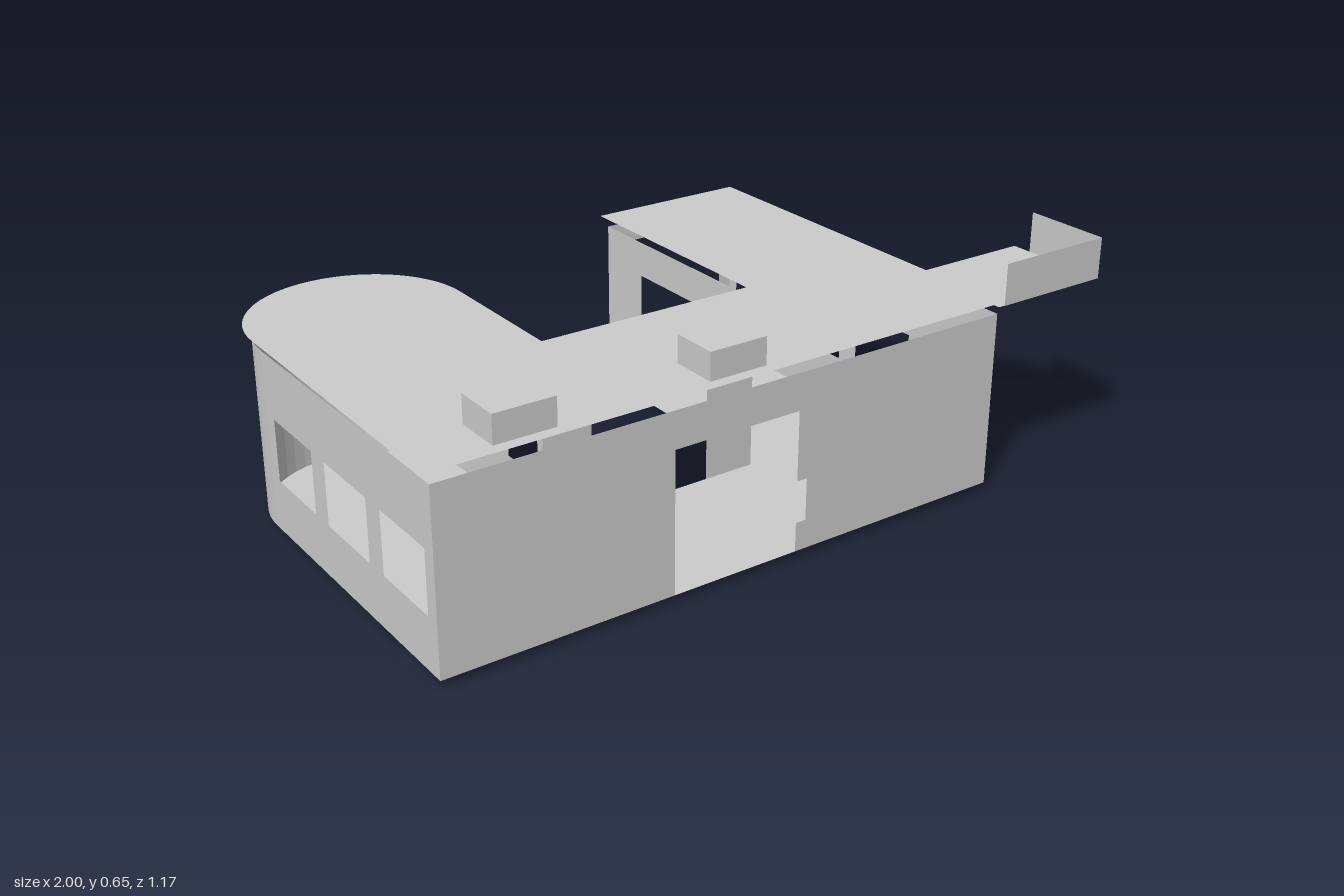
import * as THREE from 'three';

const concrete = new THREE.MeshStandardMaterial({ color: 0xcccccc, side: THREE.DoubleSide });
concrete.name = 'pale grey concrete';

const FLOOR = 0.025, WALL = 0.485, ROOF = 0.54;

function add(parent, name, geometry) {
  const mesh = new THREE.Mesh(geometry, concrete);
  mesh.name = name;
  parent.add(mesh);
  return mesh;
}

const polygon = (points) => new THREE.Shape(points.map(([x, y]) => new THREE.Vector2(x, y)));

// Thin wall from one plan point [x, z] to the next, with windows and an open doorway
function addWall(parent, name, [x0, z0], [x1, z1], { windows = [], door = [] } = {}) {
  const length = Math.hypot(x1 - x0, z1 - z0);
  const shape = polygon([[0, 0], ...door, [length, 0], [length, WALL], [0, WALL]]);
  for (const [a, b] of windows) {
    shape.holes.push(polygon([[a, 0.145], [a, 0.315], [b, 0.315], [b, 0.145]]));
  }
  const mesh = add(parent, name, new THREE.ShapeGeometry(shape));
  mesh.position.set(x0, FLOOR, z0);
  mesh.rotation.y = -Math.atan2(z1 - z0, x1 - x0);
}

const doorway = (a, b, top = 0.385) => [[a, 0], [a, top], [b, top], [b, 0]];

// Horizontal sheet drawn in plan with y = -z
function addSheet(parent, name, shape, y) {
  const geometry = new THREE.ShapeGeometry(shape, 24);
  geometry.rotateX(-Math.PI / 2);
  add(parent, name, geometry).position.y = y;
}

// Finish a plan that ends at the inner corner of the rounded wing
function roundWing(shape, outer, inner) {
  shape.absarc((outer + inner) / 2, 0.3, (inner - outer) / 2, 0, Math.PI, false);
  shape.closePath();
  return shape;
}

export function createModel() {
  const model = new THREE.Group();
  model.name = 'building';

  // Floor
  addSheet(model, 'floor', roundWing(polygon([
    [-0.98, -0.56], [0.66, -0.56], [0.66, 0.57], [0.215, 0.57], [0.215, -0.12], [-0.44, -0.12],
  ]), -0.98, -0.44), FLOOR);

  // Walls, in order around the plan
  const walls = new THREE.Group();
  walls.name = 'walls';
  model.add(walls);
  addWall(walls, 'frontWall', [-0.98, 0.56], [0.66, 0.56], {
    door: [[0.63, 0], [0.63, 0.385], [0.995, 0.385], [0.995, 0.195],
      [1.025, 0.195], [1.025, 0.08], [0.995, 0.08], [0.995, 0]],
  });
  addWall(walls, 'leftWall', [0.66, 0.56], [0.66, -0.57], {
    windows: [[0.04, 0.25], [0.32, 0.535], [0.605, 0.815], [0.88, 1.095]],
  });
  addWall(walls, 'wingEndWall', [0.66, -0.57], [0.215, -0.57], { door: doorway(0.04, 0.405, 0.425) });
  addWall(walls, 'wingCourtWall', [0.215, -0.57], [0.215, 0.12], { door: doorway(0.17, 0.525) });
  addWall(walls, 'courtBackWall', [0.215, 0.12], [-0.44, 0.12], { door: doorway(0.15, 0.51) });
  addWall(walls, 'roundWingCourtWall', [-0.44, 0.12], [-0.44, -0.3], {
    windows: [[0.025, 0.17], [0.235, 0.38]],
  });
  addWall(walls, 'rightWall', [-0.98, -0.3], [-0.98, 0.56], {
    windows: [[0.045, 0.255], [0.325, 0.54], [0.61, 0.82]],
  });
  const curve = new THREE.CylinderGeometry(0.27, 0.27, WALL, 24, 1, true, Math.PI / 2, Math.PI);
  const flatCurve = curve.toNonIndexed();
  flatCurve.computeVertexNormals();
  add(walls, 'curvedWall', flatCurve).position.set(-0.71, FLOOR + WALL / 2, -0.3);

  // Floating roof with its corner terrace
  addSheet(model, 'roof', roundWing(polygon([
    [-1, -0.565], [0.64, -0.565], [0.64, -0.583], [1, -0.583], [1, -0.28], [0.67, -0.28],
    [0.67, 0.588], [0.2, 0.588], [0.2, -0.105], [-0.425, -0.105],
  ]), -1, -0.425), ROOF);

  // Roof boxes
  for (const x of [-0.728, -0.15]) {
    add(model, 'roofBox', new THREE.BoxGeometry(0.164, 0.075, 0.13)).position.set(x, ROOF + 0.0375, 0.467);
  }

  // Terrace parapet
  const front = add(model, 'parapetFront', new THREE.PlaneGeometry(0.342, 0.114));
  front.position.set(0.829, ROOF + 0.057, 0.585);
  const side = add(model, 'parapetSide', new THREE.PlaneGeometry(0.248, 0.114));
  side.position.set(1, ROOF + 0.057, 0.461);
  side.rotation.y = Math.PI / 2;

  // Ramp from terrace to ground, notched beside a window
  const ramp = new THREE.ShapeGeometry(polygon([
    [0.67, -0.28], [1, -0.28], [1, 0.505], [0.67, 0.505],
    [0.67, 0.245], [0.732, 0.245], [0.732, 0.047], [0.67, 0.047],
  ]));
  ramp.rotateX(-Math.PI / 2);
  const p = ramp.attributes.position;
  for (let i = 0; i < p.count; i++) p.setY(i, ROOF * (p.getZ(i) + 0.505) / 0.785);
  ramp.computeVertexNormals();
  add(model, 'ramp', ramp);

  return model;
}
